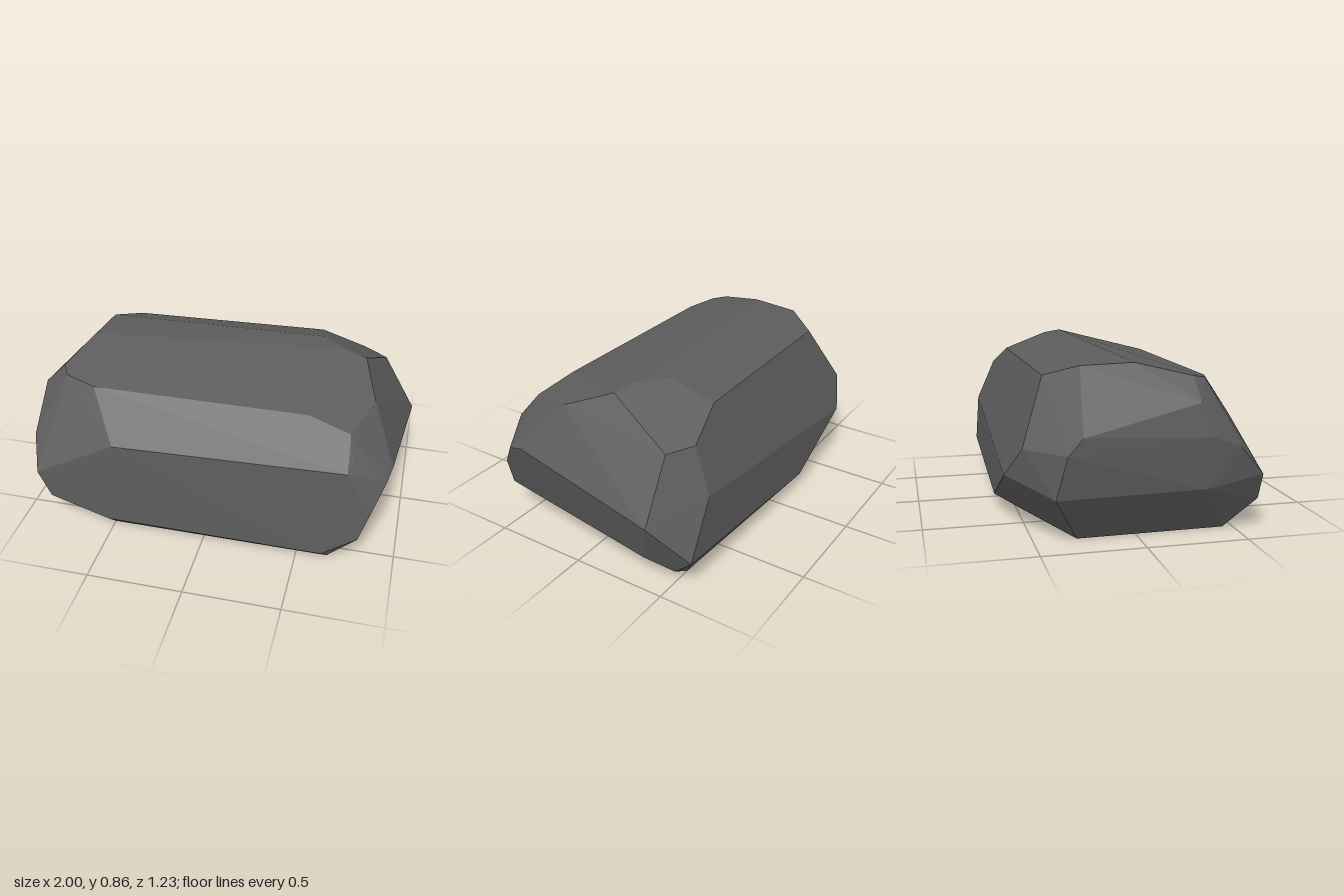
import * as THREE from 'three';
import { ConvexGeometry } from 'three/addons/geometries/ConvexGeometry.js';

// Corner points of the faceted boulder, grouped by region: [x, y, z]
const crown = [
  [-0.76, 0.83, 0.0], [-0.74, 0.82, -0.26], [0.48, 0.86, -0.21],
  [0.61, 0.862, -0.095], [0.73, 0.84, -0.06],
  [-0.84, 0.77, 0.265], [-0.8, 0.755, 0.335], [-0.63, 0.74, 0.395],
  [0.5, 0.74, 0.395], [0.72, 0.69, 0.44], [0.81, 0.74, 0.19],
];
const frontFace = [
  [-0.48, 0.515, 0.588], [0.73, 0.54, 0.57], [0.75, 0.59, 0.51],
  [0.86, 0.32, 0.578], [0.81, 0.16, 0.592], [0.63, 0.035, 0.605],
  [-0.52, 0.05, 0.615], [-0.84, 0.15, 0.612], [-0.91, 0.29, 0.605],
];
const backFace = [
  [0.45, 0.775, -0.445], [-0.63, 0.765, -0.42], [0.69, 0.67, -0.495],
  [0.72, 0.44, -0.592], [0.88, 0.15, -0.595], [-0.8, 0.45, -0.545],
  [-0.67, 0.3, -0.615], [-0.22, 0.08, -0.612],
];
const positiveXEnd = [
  [0.82, 0.66, -0.415], [1.0, 0.35, -0.42], [0.94, 0.49, 0.385],
  [0.92, 0.46, 0.48], [0.92, 0.115, -0.35], [0.86, 0.05, -0.49],
];
const negativeXEnd = [
  [-1.0, 0.45, -0.37], [-1.0, 0.53, -0.3], [-0.95, 0.66, 0.27],
  [-0.98, 0.5, 0.33], [-0.96, 0.44, 0.47], [-0.965, 0.24, -0.42],
  [-0.965, 0.25, 0.3],
];
const underside = [
  [0.77, 0, -0.5], [-0.25, 0, -0.48], [-0.8, 0, -0.29],
  [-0.79, 0, 0.45], [-0.5, 0, 0.57], [0.66, 0, 0.57],
];

export function createModel() {
  const model = new THREE.Group();
  model.name = 'boulder';

  const stone = new THREE.MeshStandardMaterial({ color: 0x5c5c5c });
  stone.name = 'dark grey stone';

  // One convex hull gives the hard, flat-cut facets
  const corners = [crown, frontFace, backFace, positiveXEnd, negativeXEnd, underside]
    .flat()
    .map((p) => new THREE.Vector3(...p));
  const rock = new THREE.Mesh(new ConvexGeometry(corners), stone);
  rock.name = 'rock';
  model.add(rock);
  return model;
}
